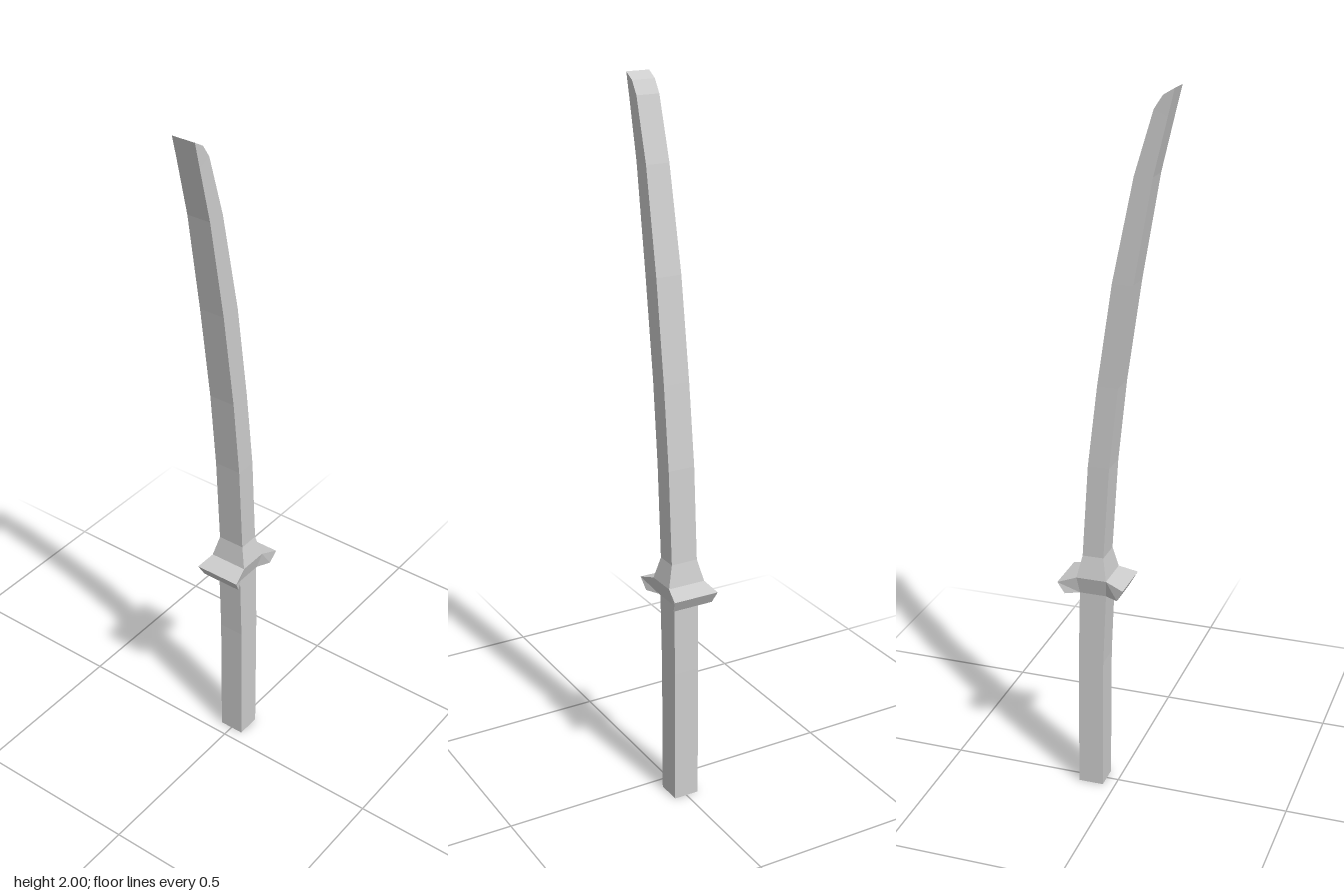
import * as THREE from 'three';

const material = new THREE.MeshStandardMaterial({ color: 0xcccccc, flatShading: true });

// Skins a list of four-cornered rings into a closed, flat-shaded solid.
// Corners run counter-clockwise when seen from the end the rings advance towards.
function loft(name, rings) {
  const pos = [];
  const quad = (a, b, c, d) => pos.push(...a, ...b, ...c, ...a, ...c, ...d);
  for (let i = 0; i < rings.length - 1; i++) {
    for (let k = 0; k < 4; k++) {
      const n = (k + 1) % 4;
      quad(rings[i][k], rings[i][n], rings[i + 1][n], rings[i + 1][k]);
    }
  }
  const [a, b, c, d] = rings[0];
  quad(d, c, b, a);
  quad(...rings[rings.length - 1]);
  const geometry = new THREE.BufferGeometry();
  geometry.setAttribute('position', new THREE.Float32BufferAttribute(pos, 3));
  geometry.computeVertexNormals();
  const mesh = new THREE.Mesh(geometry, material);
  mesh.name = name;
  return mesh;
}

// Ring across an upright part: -x edge, +x edge, half depth.
const upright = ([xl, yl, xr, yr, h]) => [
  [xl, yl, h], [xr, yr, h], [xr, yr, -h], [xl, yl, -h],
];

// Ring across the guard: top edge and bottom edge with their half depths.
const across = ([xt, yt, ht, xb, yb, hb]) => [
  [xb, yb, hb], [xb, yb, -hb], [xt, yt, -ht], [xt, yt, ht],
];

export function createModel() {
  const group = new THREE.Group();
  group.name = 'curvedSword';

  // Handle, bending slightly into the blade's curve
  group.add(loft('handle', [
    [0.035, 0, 0.107, 0, 0.037],
    [0.032, 0.4, 0.105, 0.4, 0.037],
    [0.022, 0.64, 0.099, 0.64, 0.037],
  ].map(upright)));

  // Guard with two flared wings around a narrow waist
  const wing = [[-0.035, 0.647, 0.067, -0.016, 0.612, 0.06], [0.017, 0.663, 0.055, 0.022, 0.612, 0.041]];
  const mirrored = wing.map(([xt, yt, ht, xb, yb, hb]) => [0.12 - xt, yt, ht, 0.12 - xb, yb, hb]).reverse();
  group.add(loft('guard', [...wing, ...mirrored].map(across)));

  // Tapered collar between guard and blade
  group.add(loft('collar', [
    [0.017, 0.663, 0.103, 0.663, 0.055],
    [0.03, 0.725, 0.09, 0.725, 0.039],
  ].map(upright)));

  // Curved blade ending in a slanted point
  group.add(loft('blade', [
    [0.03, 0.725, 0.09, 0.725, 0.039],
    [0.013, 0.99, 0.073, 0.99, 0.039],
    [-0.012, 1.22, 0.046, 1.22, 0.038],
    [-0.053, 1.5, 0.005, 1.5, 0.037],
    [-0.102, 1.78, -0.052, 1.78, 0.034],
    [-0.138, 1.93, -0.102, 1.947, 0.033],
    [-0.155, 2.0, -0.125, 1.982, 0.033],
  ].map(upright)));

  return group;
}
